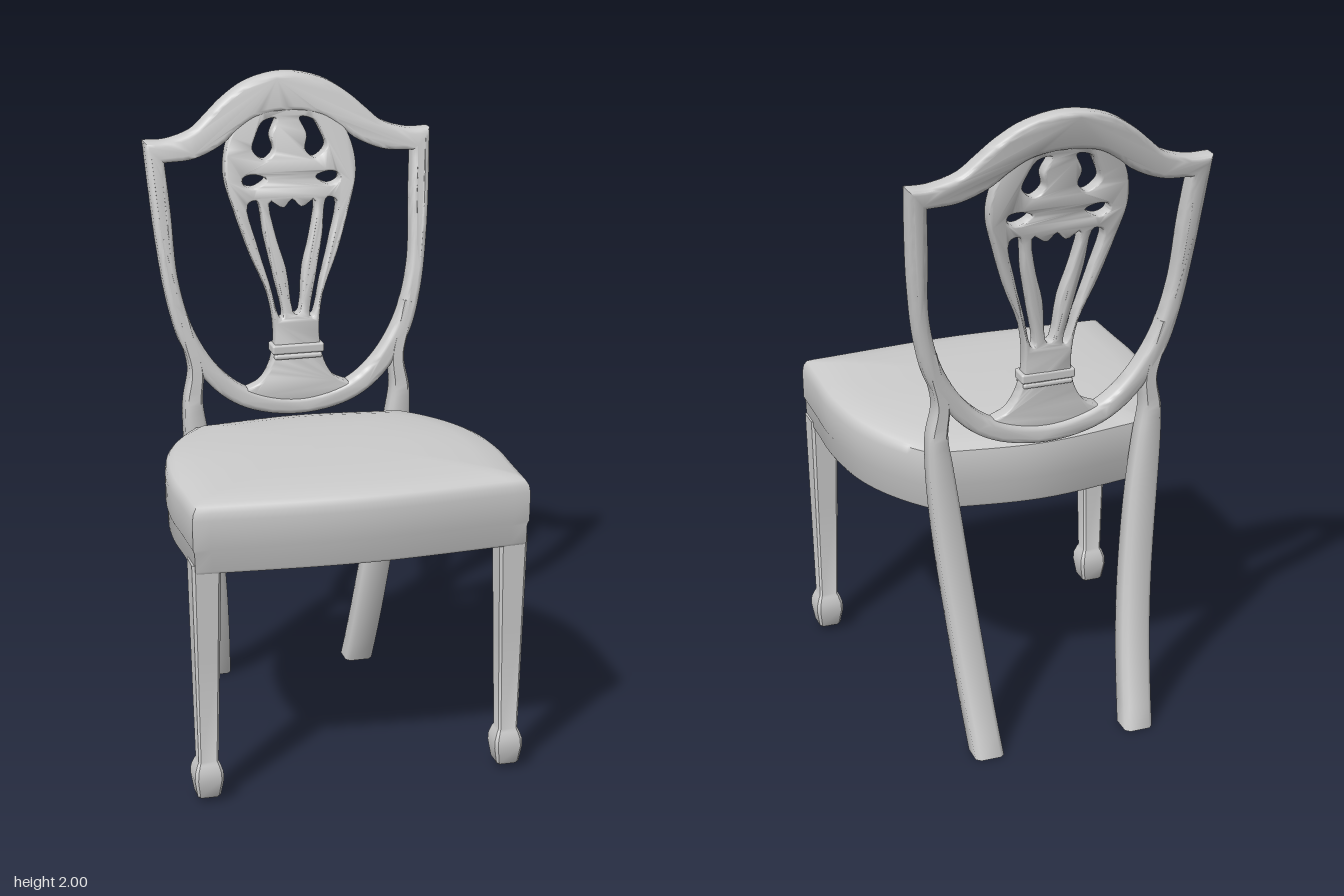
import * as THREE from 'three';
import { toCreasedNormals } from 'three/addons/utils/BufferGeometryUtils.js';
import { RoundedBoxGeometry } from 'three/addons/geometries/RoundedBoxGeometry.js';

const material = new THREE.MeshStandardMaterial({ color: 0xcccccc });

function addMesh(parent, name, geometry, crease = 0.9) {
  const mesh = new THREE.Mesh(crease ? toCreasedNormals(geometry, crease) : geometry, material);
  mesh.name = name;
  parent.add(mesh);
  return mesh;
}

// Depth of the back's centre line at height y: legs sweep back below, the shield leans back above
const spine = (y) => (y < 0.95
  ? -0.322 - 0.16 * ((0.95 - y) / 0.95) ** 2.2
  : -0.322 - 0.163 * ((y - 0.95) / 1.05) ** 1.7);

const spline = (pts, n, closed = false) => {
  const v = pts.map(([x, y]) => new THREE.Vector3(x, y, 0));
  return new THREE.CatmullRomCurve3(v, closed).getPoints(n).slice(0, n).map((p) => new THREE.Vector2(p.x, p.y));
};
// Half profile running from x = 0 (or right) and back, completed by its mirror image
const mirrored = (half) => [...half, ...half.filter(([x]) => x > 0).reverse().map(([x, y]) => [-x, y])];

// Skin closed rings of points (counter-clockwise from above, bottom to top) and cap both ends
function loft(rings) {
  const n = rings[0].length, pos = [], idx = [];
  rings.forEach((r) => r.forEach((p) => pos.push(p.x, p.y, p.z)));
  for (let k = 0; k < rings.length - 1; k++) {
    for (let i = 0; i < n; i++) {
      const a = k * n + i, b = k * n + (i + 1) % n;
      idx.push(a, b, b + n, a, b + n, a + n);
    }
  }
  [0, rings.length - 1].forEach((k) => {
    const c = new THREE.Vector3();
    rings[k].forEach((p) => c.addScaledVector(p, 1 / n));
    const ci = pos.length / 3;
    pos.push(c.x, c.y, c.z);
    for (let i = 0; i < n; i++) {
      const a = k * n + i, b = k * n + (i + 1) % n;
      idx.push(...(k === 0 ? [ci, b, a] : [ci, a, b]));
    }
  });
  const g = new THREE.BufferGeometry();
  g.setAttribute('position', new THREE.Float32BufferAttribute(pos, 3));
  g.setIndex(idx);
  return g;
}

// Chamfered rectangular section
function section(cx, y, cz, w, d, c = 0.2) {
  const pts = [];
  const e = 0.5 - c;
  [[-e, 0.5], [e, 0.5], [0.5, e], [0.5, -e], [e, -0.5], [-e, -0.5], [-0.5, -e], [-0.5, e]]
    .forEach(([x, z]) => pts.push(new THREE.Vector3(cx + x * w, y, cz + z * d)));
  return pts;
}

// Extrude a flat outline with rounded edges, then bend it along the spine
function bentPanel(outline, holes, depth, bevel, shift = 0) {
  const shape = new THREE.Shape(outline);
  shape.holes = holes.map((h) => new THREE.Path(h));
  const g = new THREE.ExtrudeGeometry(shape, {
    depth: depth - 2 * bevel, bevelThickness: bevel, bevelSize: bevel, bevelOffset: -bevel, bevelSegments: 3,
  });
  const p = g.attributes.position;
  for (let i = 0; i < p.count; i++) {
    p.setZ(i, p.getZ(i) - depth / 2 + bevel + shift + spine(p.getY(i)));
  }
  return g;
}

// Two splines meeting at the sharp upper corners of the shield
function shieldLoop(top, side) {
  const left = (pts) => pts.slice(0, -1).map(([x, y]) => [-x, y]);
  const full = (pts) => [...left(pts), ...pts.slice().reverse()];
  return [...spline(full(side), 80), ...spline(full(top).map(([x, y]) => [-x, y]).map(([x, y]) => [x, y]), 48)];
}

function seat() {
  // Plan outline as (x, z): bowed front, rounded sides, slightly bowed back
  const side = [[0.508, 0.495], [0.512, 0.35], [0.516, 0.2], [0.495, 0.02], [0.455, -0.1], [0.4, -0.2], [0.34, -0.28]];
  const plan = [
    ...spline([[-0.508, 0.495], [0, 0.525], [0.508, 0.495]], 20),
    ...spline(side, 28),
    ...spline([[0.34, -0.28], [0, -0.325], [-0.34, -0.28]], 16),
    ...spline(side.slice().reverse().map(([x, z]) => [-x, z]), 28),
  ];
  // Levels of the rail, rounded upholstery edge and domed top as (scale, height)
  const levels = [[0.975, 0.735], [0.985, 0.743], [0.988, 0.8], [0.998, 0.812], [1, 0.9], [0.993, 0.922],
    [0.975, 0.938], [0.94, 0.946], [0.8, 0.956], [0.6, 0.963], [0.4, 0.966], [0.15, 0.967]];
  return loft(levels.map(([s, y]) => plan.map((p) => {
    const z = 0.1 + (p.y - 0.1) * s;
    const drop = y > 0.93 ? 0.06 * Math.max(0, 0.1 - z) ** 1.5 : 0;
    return new THREE.Vector3(p.x * s, y - drop, z);
  })));
}

export function createModel() {
  const chair = new THREE.Group();
  chair.name = 'chair';

  addMesh(chair, 'seat', seat());

  // Legs: tapered front legs with spade feet, sabre rear legs rising into stiles
  const frontLevels = [[0.015, 0.058], [0.022, 0.07], [0.075, 0.088], [0.1, 0.085], [0.122, 0.07],
    [0.132, 0.06], [0.45, 0.074], [0.76, 0.087]];
  const rearKeys = [[0, 0.243, 0.09], [0.35, 0.273, 0.09], [0.73, 0.313, 0.085], [0.9, 0.33, 0.072], [1.0, 0.337, 0.056],
    [1.1, 0.326, 0.044], [1.2, 0.348, 0.042], [1.28, 0.363, 0.03]];
  const rearCurve = new THREE.CatmullRomCurve3(rearKeys.map(([y, x, w]) => new THREE.Vector3(x, y, w)));
  for (const [s, label] of [[1, 'left'], [-1, 'right']]) {
    addMesh(chair, `${label}FrontLeg`, loft(frontLevels.map(([y, w]) => section(s * 0.465, y, 0.442, w, w, 0.1))), 0.6);
    addMesh(chair, `${label}RearLeg`, loft(rearCurve.getPoints(36).map((p) => section(
      s * p.x, p.y, spine(p.y), p.z, THREE.MathUtils.lerp(0.088, 0.066, p.y / 1.28), 0.15))));
  }

  // Shield frame
  const outer = shieldLoop(
    [[0.458, 1.812], [0.39, 1.812], [0.305, 1.838], [0.255, 1.88], [0.2, 1.928], [0.12, 1.976], [0, 2.0]],
    [[0.458, 1.812], [0.447, 1.65], [0.434, 1.5], [0.407, 1.31], [0.365, 1.17], [0.27, 1.035], [0.165, 0.965], [0, 0.935]]);
  const inner = shieldLoop(
    [[0.397, 1.745], [0.305, 1.752], [0.215, 1.79], [0.165, 1.83], [0.1, 1.868], [0, 1.882]],
    [[0.397, 1.745], [0.386, 1.6], [0.373, 1.39], [0.33, 1.23], [0.25, 1.1], [0.155, 1.025], [0, 0.99]]);
  addMesh(chair, 'shieldFrame', bentPanel(outer, [inner], 0.068, 0.016));

  // Pierced vase-shaped splat
  const splat = spline(mirrored([[0, 0.955], [0.13, 0.985], [0.175, 1.02], [0.12, 1.05], [0.088, 1.1], [0.072, 1.18],
    [0.085, 1.31], [0.14, 1.45], [0.182, 1.58], [0.21, 1.69], [0.2, 1.78], [0.16, 1.86], [0.09, 1.91], [0, 1.925]]), 120, true);
  const flip = (pts) => pts.map(([x, y]) => [-x, y]);
  const sideHoles = [
    [[0.038, 1.862], [0.08, 1.855], [0.105, 1.815], [0.118, 1.77], [0.08, 1.738], [0.05, 1.765], [0.058, 1.81]],
    [[0.08, 1.68], [0.115, 1.695], [0.152, 1.688], [0.153, 1.667], [0.12, 1.655]],
    [[0.143, 1.605], [0.112, 1.615], [0.092, 1.5], [0.067, 1.38], [0.044, 1.25], [0.054, 1.25], [0.084, 1.36], [0.118, 1.48]],
  ];
  const centreHole = mirrored([[0, 1.615], [0.03, 1.59], [0.072, 1.612], [0.056, 1.5], [0.028, 1.4], [0.008, 1.26]]);
  const holes = [centreHole, ...sideHoles, ...sideHoles.map(flip)].map((h) => spline(h, 36, true));
  addMesh(chair, 'splat', bentPanel(splat, holes, 0.05, 0.007, 0.004));

  // Moulded collar around the waist of the splat
  for (const [y, w, h] of [[1.15, 0.168, 0.03], [1.126, 0.155, 0.016]]) {
    const collar = addMesh(chair, 'splatCollar', new RoundedBoxGeometry(w, h, 0.066, 3, 0.007), 0);
    collar.position.set(0, y, spine(y) + 0.006);
  }
  return chair;
}
